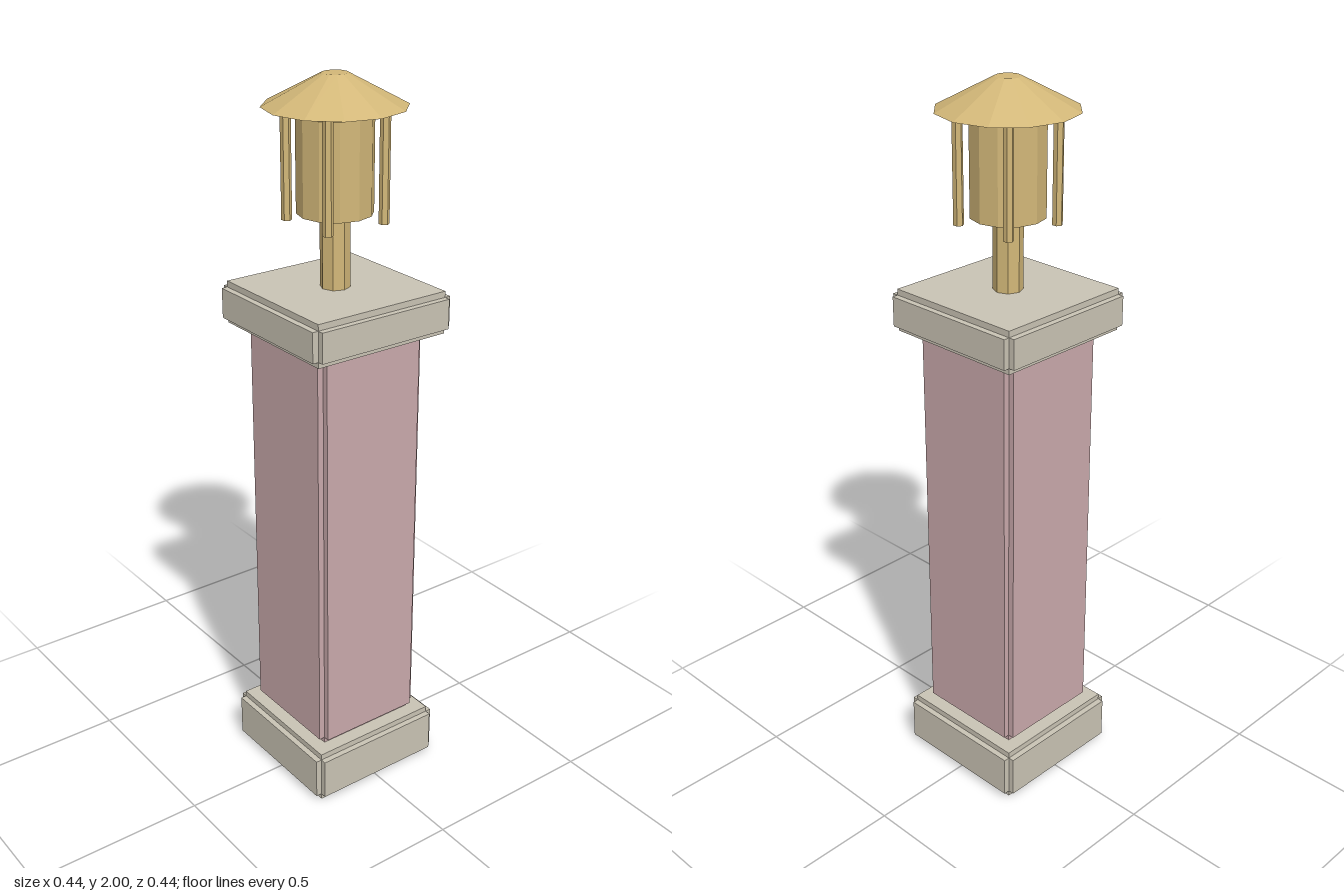
import * as THREE from 'three';

const stone = new THREE.MeshStandardMaterial({ color: 0xc9c3b4, flatShading: true });
stone.name = 'paleStone';
const pink = new THREE.MeshStandardMaterial({ color: 0xc9a9ab, flatShading: true });
pink.name = 'dustyPink';
const brass = new THREE.MeshStandardMaterial({ color: 0xd2b778, flatShading: true });
brass.name = 'brass';

// Square block with stepped edges: three crossed boxes, each full size along one axis
function steppedBlock(name, half, bottom, top, material, step = 0.017) {
  const group = new THREE.Group();
  group.name = name;
  const full = [half * 2, top - bottom, half * 2];
  ['AcrossX', 'Upright', 'AcrossZ'].forEach((suffix, axis) => {
    const size = full.map((s, i) => (i === axis ? s : s - step * 2));
    const mesh = new THREE.Mesh(new THREE.BoxGeometry(...size), material);
    mesh.name = name + suffix;
    mesh.position.y = (bottom + top) / 2;
    group.add(mesh);
  });
  return group;
}

// Upright faceted cylinder between two heights
function turned(name, rTop, rBottom, bottom, top, sides, x = 0, z = 0) {
  const mesh = new THREE.Mesh(new THREE.CylinderGeometry(rTop, rBottom, top - bottom, sides), brass);
  mesh.name = name;
  mesh.position.set(x, (bottom + top) / 2, z);
  return mesh;
}

export function createModel() {
  const model = new THREE.Group();
  model.name = 'pillarWithLantern';

  // Masonry pillar
  model.add(
    steppedBlock('base', 0.209, 0, 0.154, stone),
    steppedBlock('column', 0.167, 0.154, 1.337, pink),
    steppedBlock('cap', 0.2195, 1.337, 1.453, stone),
  );

  // Lantern: stem, drum and conical roof
  model.add(
    turned('stem', 0.04, 0.04, 1.45, 1.655, 8),
    turned('drum', 0.1, 0.1, 1.65, 1.9, 12),
    turned('roof', 0.034, 0.186, 1.92, 2, 12),
  );

  // Four posts holding the roof
  for (const x of [-1, 1]) {
    for (const z of [-1, 1]) {
      model.add(turned('roofPost', 0.014, 0.014, 1.625, 1.925, 6, x * 0.0885, z * 0.0885));
    }
  }
  return model;
}
